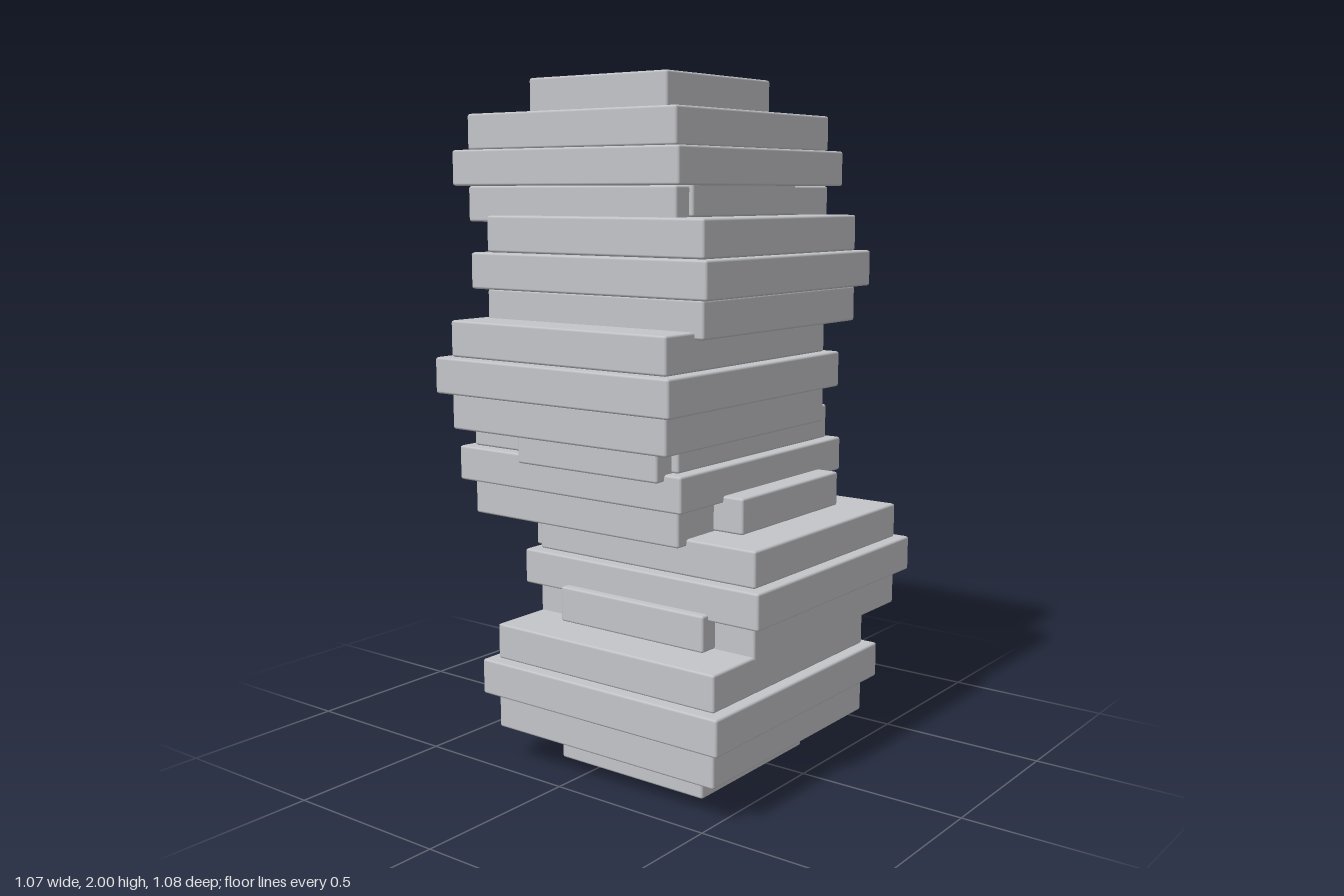
import * as THREE from 'three';
import { RoundedBoxGeometry } from 'three/addons/geometries/RoundedBoxGeometry.js';

const LAYER = 0.105;  // slab thickness
const STEP = 0.295;   // rise from one block to the next
const WIDTHS = [0.514, 0.774, 0.84, 0.774, 0.514];
const NAMES = ['bottomCap', 'lowerSlab', 'middleSlab', 'upperSlab', 'topCap'];

// x, z of each block's centre, from the ground up
const CENTRES = [
  [-0.072, 0.119],
  [0.116, 0.12],
  [0.078, -0.11],
  [-0.118, -0.003],
  [0.005, 0.026],
  [0.077, -0.117],
];

export function createModel() {
  const model = new THREE.Group();
  model.name = 'stackedBlockTower';
  const stone = new THREE.MeshStandardMaterial({ color: 0xc4c5c9 });
  stone.name = 'light grey';

  // one softly bevelled square slab per width
  const slabs = WIDTHS.map((w) => new RoundedBoxGeometry(w, LAYER, w, 1, 0.007));

  // each block is five square slabs, widest in the middle; blocks overlap as they climb
  CENTRES.forEach(([x, z], i) => {
    const block = new THREE.Group();
    block.name = `block${i + 1}`;
    block.position.set(x, i * STEP, z);
    slabs.forEach((geometry, k) => {
      const slab = new THREE.Mesh(geometry, stone);
      slab.name = NAMES[k];
      slab.position.y = (k + 0.5) * LAYER;
      block.add(slab);
    });
    model.add(block);
  });
  return model;
}
